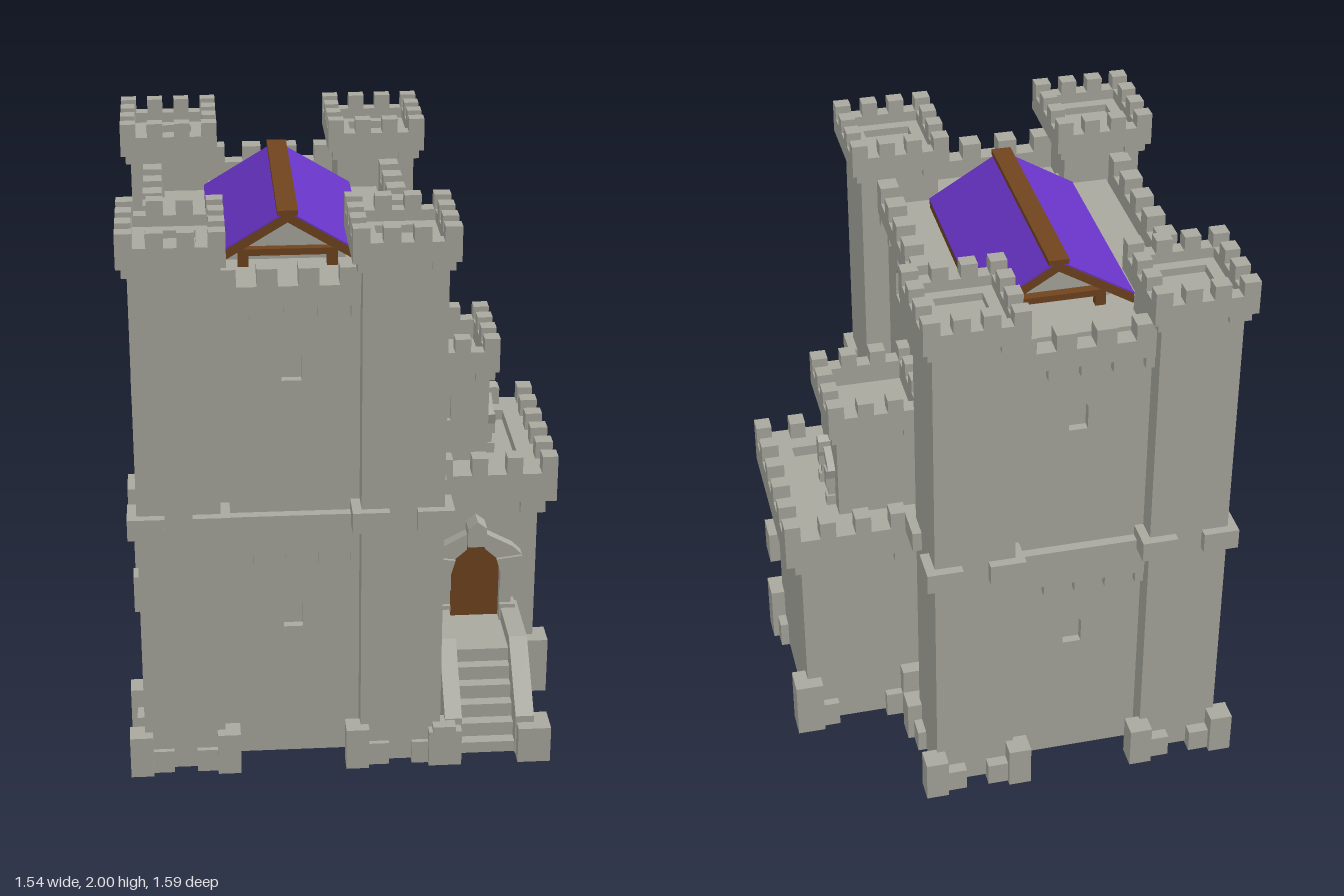
import * as THREE from 'three';

const mat = (name, color) => Object.assign(new THREE.MeshStandardMaterial({ color }), { name });

export function createModel() {
  const stone = mat('stone', 0xa8a89f);
  const wood = mat('wood', 0x70431e);
  const cloth = mat('purpleRoof', 0x6633c4);
  const model = new THREE.Group();
  model.name = 'castleKeep';

  const group = (name, parent = model) => {
    const g = new THREE.Group();
    g.name = name;
    parent.add(g);
    return g;
  };
  const add = (parent, name, geo, m = stone) => {
    const mesh = new THREE.Mesh(geo, m);
    mesh.name = name;
    parent.add(mesh);
    return mesh;
  };
  // box given by its limits on each axis
  const box = (parent, name, x0, x1, y0, y1, z0, z1, m = stone) =>
    add(parent, name, new THREE.BoxGeometry(x1 - x0, y1 - y0, z1 - z0)
      .translate((x0 + x1) / 2, (y0 + y1) / 2, (z0 + z1) / 2), m);
  const poly = (pts) => new THREE.Shape(pts.map(([x, y]) => new THREE.Vector2(x, y)));
  const extrude = (shape, depth) => new THREE.ExtrudeGeometry(shape, { depth, bevelEnabled: false });
  const rect = (hx, hz) => [[-hx, -hz], [hx, -hz], [hx, hz], [-hx, hz]];
  const spread = (n, half) => Array.from({ length: n }, (_, i) => -half + (2 * half * i) / (n - 1));

  // flat square ring with a vertical axis
  const ring = (parent, name, cx, cz, hx, hz, t, y0, y1) => {
    const s = poly(rect(hx, hz));
    s.holes.push(poly(rect(hx - t, hz - t)));
    add(parent, name, extrude(s, y1 - y0).rotateX(-Math.PI / 2).translate(cx, y0, cz));
  };

  // battlement crown: parapet ring with merlons of width w and depth t on all four sides
  const crown = (parent, cx, cz, hx, hz, y0, y1, y2, t, n, w, thick = t) => {
    ring(parent, 'parapet', cx, cz, hx, hz, thick, y0, y1);
    const merlon = (x, z, wx, wz) =>
      box(parent, 'merlon', x - wx / 2, x + wx / 2, y1, y2, z - wz / 2, z + wz / 2);
    for (const s of [-1, 1]) {
      for (const x of spread(n, hx - w / 2)) merlon(cx + x, cz + s * (hz - t / 2), w, t);
      for (const z of spread(n, hz - w / 2).slice(1, -1)) merlon(cx + s * (hx - t / 2), cz + z, t, w);
    }
  };

  // blocks on the corners of a shaft, standing out by o and reaching inward by w
  const corners = (parent, name, cx, cz, hx, hz, o, w, y0, y1) => {
    for (const sx of [-1, 1]) for (const sz of [-1, 1]) {
      const x = cx + sx * (hx + o - w / 2), z = cz + sz * (hz + o - w / 2);
      box(parent, name, x - w / 2, x + w / 2, y0, y1, z - w / 2, z + w / 2);
    }
  };

  // four corner towers
  for (const [name, cx, cz] of [['frontRightTower', -0.58, 0.605], ['frontLeftTower', 0.172, 0.605],
    ['backRightTower', -0.58, -0.58], ['backLeftTower', 0.177, -0.58]]) {
    const t = group(name);
    box(t, 'shaft', cx - 0.14, cx + 0.14, 0.01, 1.885, cz - 0.15, cz + 0.15);
    corners(t, 'tallFootBlock', cx, cz - 0.012, 0.14, 0.15, 0.052, 0.08, 0, 0.155);
    corners(t, 'lowFootBlock', cx, cz - 0.012, 0.14, 0.15, 0.03, 0.13, 0, 0.085);
    corners(t, 'collarBlock', cx, cz, 0.14, 0.15, 0.032, 0.125, 0.92, 0.995);
    corners(t, 'crownBracket', cx, cz, 0.14, 0.15, 0.018, 0.075, 1.845, 1.88);
    crown(t, cx, cz, 0.175, 0.185, 1.88, 1.95, 2, 0.052, 4, 0.056);
    ring(t, 'ledge', cx, cz, 0.123, 0.133, 0.04, 1.88, 1.912);
  }

  // keep core and raised roof deck
  box(model, 'keepCore', -0.61, 0.19, 0.01, 1.71, -0.62, 0.64);
  box(model, 'roofDeck', -0.6, 0.18, 1.7, 1.735, -0.525, 0.54);

  const windowHole = (x, y) =>
    poly([[-0.033, 0], [0.033, 0], [0.033, 0.09], [0, 0.13], [-0.033, 0.09]]
      .map(([a, b]) => [a + x, b + y]));
  // wall face with recessed windows, facing +z
  const panel = (parent, w0, w1, y0, y1, holes, depth = 0.03) => {
    const s = poly([[w0, y0], [w1, y0], [w1, y1], [w0, y1]]);
    s.holes.push(...holes.map(([x, y]) => windowHole(x, y)));
    return add(parent, 'wallFace', extrude(s, depth).translate(0, 0, -depth));
  };

  // four walls with string course, corbels and battlements
  const wall = (name, half, upper, lower, corbels, merlons, x, z, turn) => {
    const g = group(name);
    g.position.set(x, 0, z);
    g.rotation.y = turn;
    panel(g, -half - 0.02, half + 0.02, 0.01, 1.71,
      [...upper.map((w) => [w, 1.435]), ...lower.map((w) => [w, 0.51])]);
    box(g, 'stringCourse', -half, half, 0.81, 0.955, -0.02, 0.035);
    box(g, 'parapet', -half, half, 1.71, 1.78, -0.032, 0.035);
    for (const c of spread(corbels, half - 0.015)) for (const y of [0.765, 1.665])
      box(g, 'corbel', c - 0.015, c + 0.015, y, y + 0.045, -0.01, 0.03);
    for (const m of spread(merlons, half - 0.033))
      box(g, 'merlon', m - 0.034, m + 0.034, 1.78, 1.84, -0.032, 0.035);
  };
  const sideWindows = [-0.28, 0.005, 0.285];
  wall('frontWall', 0.235, [0.01], [0.01], 5, 4, -0.205, 0.67, 0);
  wall('backWall', 0.235, [-0.01], [-0.01], 5, 4, -0.205, -0.65, Math.PI);
  wall('leftWall', 0.442, sideWindows, [], 7, 7, 0.22, 0.012, Math.PI / 2);
  wall('rightWall', 0.442, sideWindows, sideWindows, 7, 7, -0.64, 0.012, -Math.PI / 2);

  // pitched roof: thin purple covering on wooden boards, with ridge board and trusses
  const roof = group('roof');
  roof.position.set(-0.19, 0, 0);
  const chevron = (w, top, drop, t) => poly([[-w, top - drop - t], [0, top - t], [w, top - drop - t],
    [w, top - drop], [0, top], [-w, top - drop]]);
  add(roof, 'roofCover', extrude(chevron(0.266, 1.932, 0.161, 0.005), 0.785).translate(0, 0, -0.383), cloth);
  add(roof, 'roofBoards', extrude(chevron(0.264, 1.927, 0.16, 0.035), 0.79).translate(0, 0, -0.386), wood);
  box(roof, 'ridgeBoard', -0.035, 0.035, 1.918, 1.936, -0.386, 0.412, wood);
  for (const z of [0.365, 0, -0.38]) {
    box(roof, 'tieBeam', -0.162, 0.162, 1.775, 1.798, z, z + 0.033, wood);
    for (const s of [-1, 1])
      box(roof, 'post', s * 0.15 - 0.018, s * 0.15 + 0.018, 1.73, 1.79, z + 0.002, z + 0.03, wood);
  }
  for (const z of [0.31, -0.31])
    add(roof, 'gable', extrude(poly([[-0.2, 1.735], [0.2, 1.735], [0.2, 1.775], [0, 1.895], [-0.2, 1.775]]), 0.02)
      .translate(0, 0, z - 0.01));

  // gate annex, its square crown running back into the keep wall
  const annex = group('gateTower');
  box(annex, 'shaft', 0.2, 0.71, 0.01, 0.86, -0.3, 0.27);
  corners(annex, 'tallFootBlock', 0.51, -0.015, 0.2, 0.285, 0.05, 0.1, 0, 0.215);
  corners(annex, 'lowFootBlock', 0.51, -0.015, 0.2, 0.285, 0.03, 0.14, 0, 0.1);
  corners(annex, 'crownBracket', 0.51, -0.015, 0.2, 0.285, 0.025, 0.09, 0.73, 0.79);
  crown(annex, 0.427, -0.015, 0.342, 0.342, 0.79, 0.9, 0.965, 0.062, 6, 0.056, 0.12);

  // small turret above the annex
  const turret = group('turret');
  box(turret, 'shaft', 0.2, 0.545, 0.79, 1.225, -0.18, 0.09);
  panel(turret, 0.2, 0.545, 0.79, 1.225, [[0.375, 1.02]], 0.02).position.z = 0.11;
  corners(turret, 'crownBracket', 0.4, -0.035, 0.145, 0.145, 0.018, 0.07, 1.18, 1.22);
  crown(turret, 0.39, -0.035, 0.185, 0.185, 1.22, 1.3, 1.35, 0.055, 4, 0.056);

  // doorway with jamb stones, arch stones and keystone, facing +z
  const doorway = (name, x, y, z, scale, turn) => {
    const g = group(name);
    g.position.set(x, y, z);
    g.rotation.y = turn;
    g.scale.setScalar(scale);
    add(g, 'door', extrude(poly([[-0.0925, 0], [0.0925, 0], [0.0925, 0.2], [0.075, 0.25],
      [0, 0.312], [-0.075, 0.25], [-0.0925, 0.2]]), 0.009), wood);
    for (const s of [-1, 1]) {
      for (let i = 0; i < 3; i++) {
        const out = i % 2 ? 0.132 : 0.148;
        box(g, 'jambStone', Math.min(s * 0.09, s * out), Math.max(s * 0.09, s * out),
          i * 0.065, (i + 1) * 0.065, -0.01, i % 2 ? 0.04 : 0.055);
      }
      const stones = [[[0.09, 0.195], [0.15, 0.195], [0.168, 0.262], [0.075, 0.25]],
        [[0.075, 0.25], [0.168, 0.262], [0.135, 0.295], [0.033, 0.35], [0.033, 0.288]]];
      stones.forEach((pts, i) => add(g, 'archStone',
        extrude(poly(pts.map(([a, b]) => [s * a, b])), 0.06 - i * 0.012).translate(0, 0, -0.005)));
    }
    add(g, 'keystone', extrude(poly([[-0.034, 0.312], [0.034, 0.312], [0.034, 0.385], [0, 0.412],
      [-0.034, 0.385]]), 0.078).translate(0, 0, -0.005));
  };
  doorway('gateDoorway', 0.485, 0.31, 0.27, 1, 0);
  doorway('turretDoorway', 0.545, 0.863, -0.03, 0.6, Math.PI / 2);

  // stairs with a landing and sloping side walls
  const stairs = group('stairs');
  box(stairs, 'landing', 0.38, 0.59, 0.01, 0.31, 0.26, 0.53);
  for (let i = 0; i < 5; i++)
    box(stairs, 'step', 0.38, 0.59, 0.01, 0.26 - i * 0.052, 0.52, 0.57 + i * 0.042);
  for (const [x0, x1] of [[0.33, 0.39], [0.58, 0.645]]) {
    const profile = poly([[0.26, 0.01], [0.75, 0.01], [0.75, 0.16], [0.535, 0.36], [0.26, 0.36]]);
    add(stairs, 'sideWall', extrude(profile, x1 - x0).rotateY(-Math.PI / 2).translate(x1, 0, 0));
  }
  for (const x of [0.27, 0.585])
    box(stairs, 'newelBlock', x, x + 0.115, 0, 0.135, 0.685, 0.795);

  return model;
}
